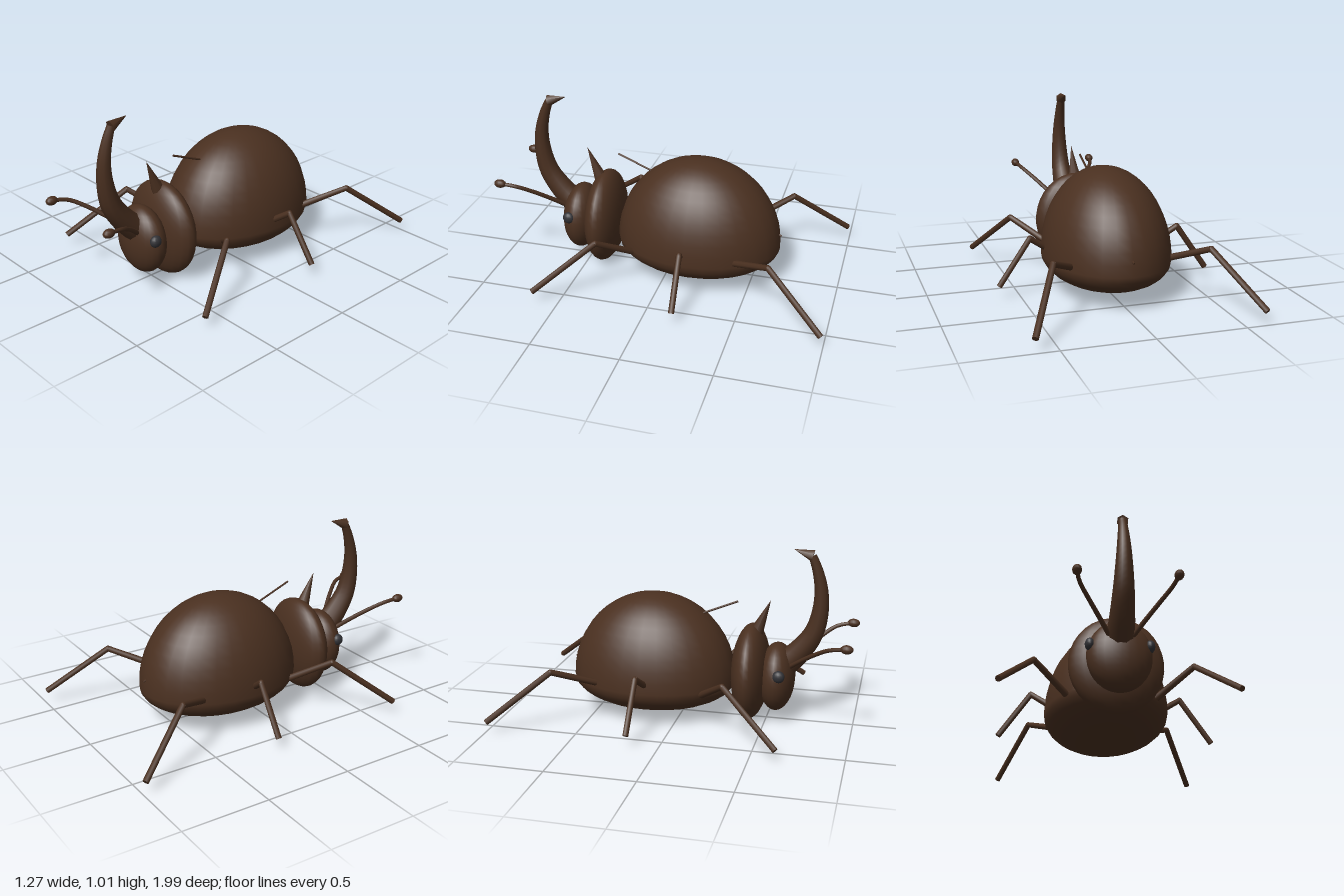
import * as THREE from 'three';

const shell = new THREE.MeshStandardMaterial({ color: 0x4a3020 });
shell.name = 'brownShell';
const eyeBlack = new THREE.MeshStandardMaterial({ color: 0x323236 });
eyeBlack.name = 'eyeBlack';

const V = (x, y, z) => new THREE.Vector3(x, y, z);

function part(parent, name, geometry, material = shell) {
  const mesh = new THREE.Mesh(geometry, material);
  mesh.name = name;
  parent.add(mesh);
  return mesh;
}

function ellipsoid(parent, name, center, radii, material = shell, seg = 24) {
  const g = new THREE.SphereGeometry(1, seg, Math.round(seg * 0.7));
  g.scale(...radii);
  const mesh = part(parent, name, g, material);
  mesh.position.set(...center);
  return mesh;
}

// Straight round rod or cone between two points
function rod(parent, name, a, b, r0, r1, sides = 8) {
  const mesh = part(parent, name, new THREE.CylinderGeometry(r1, r0, a.distanceTo(b), sides));
  mesh.position.copy(a).add(b).multiplyScalar(0.5);
  mesh.quaternion.setFromUnitVectors(V(0, 1, 0), b.clone().sub(a).normalize());
  return mesh;
}

// Curved tube whose radius follows a rule along its length
function taperedTube(parent, name, points, radiusAt, steps, sides) {
  const curve = new THREE.CatmullRomCurve3(points);
  const g = new THREE.TubeGeometry(curve, steps, 1, sides, false);
  const pos = g.attributes.position;
  const p = V(0, 0, 0);
  for (let i = 0; i < pos.count; i++) {
    const t = Math.floor(i / (sides + 1)) / steps;
    const c = curve.getPointAt(t);
    p.fromBufferAttribute(pos, i).sub(c).multiplyScalar(radiusAt(t)).add(c);
    pos.setXYZ(i, p.x, p.y, p.z);
  }
  return part(parent, name, g);
}

export function createModel() {
  const model = new THREE.Group();
  model.name = 'hornedBeetle';

  // Abdomen: tall dome above, shallow bowl below
  const dome = new THREE.SphereGeometry(1, 28, 12, 0, Math.PI * 2, 0, Math.PI / 2);
  dome.scale(0.36, 0.505, 0.482);
  part(model, 'wingCases', dome).position.set(0, 0.21, -0.172);
  const bowl = new THREE.SphereGeometry(1, 28, 8, 0, Math.PI * 2, Math.PI / 2, Math.PI / 2);
  bowl.scale(0.36, 0.18, 0.482);
  part(model, 'belly', bowl).position.set(0, 0.21, -0.172);

  // Thin straight seam running through the wing cases
  rod(model, 'wingSeam', V(0, 0.29, -0.66), V(0, 0.69, 0.32), 0.006, 0.006, 6);

  // Thorax and head
  ellipsoid(model, 'thorax', [0, 0.28, 0.403], [0.26, 0.28, 0.108]);
  ellipsoid(model, 'head', [0, 0.26, 0.555], [0.175, 0.2, 0.105]);

  // Thorax spike
  rod(model, 'thoraxSpike', V(0, 0.49, 0.42), V(0, 0.71, 0.51), 0.045, 0, 8);

  // Big head horn with a backward-pointing tip
  taperedTube(model, 'headHorn', [
    V(0, 0.34, 0.6), V(0, 0.42, 0.68), V(0, 0.53, 0.755), V(0, 0.65, 0.787),
    V(0, 0.78, 0.79), V(0, 0.9, 0.764), V(0, 0.98, 0.733),
  ], (t) => 0.077 - 0.054 * t, 20, 10);
  rod(model, 'hornTip', V(0, 0.977, 0.737), V(0, 1.01, 0.63), 0.034, 0, 6);

  for (const s of [1, -1]) {
    const side = s > 0 ? 'left' : 'right';

    ellipsoid(model, side + 'Eye', [s * 0.158, 0.31, 0.585], [0.027, 0.035, 0.035], eyeBlack, 14);

    // Antenna with a club at the end
    taperedTube(model, side + 'Antenna', [
      V(s * 0.05, 0.33, 0.62), V(s * 0.11, 0.395, 0.695),
      V(s * 0.18, 0.465, 0.785), V(s * 0.235, 0.515, 0.87), V(s * 0.255, 0.532, 0.955),
    ], (t) => 0.014 - 0.003 * t, 14, 7);
    ellipsoid(model, side + 'AntennaClub', [s * 0.255, 0.532, 0.962], [0.025, 0.025, 0.036], shell, 12);

    // Legs: hip, knee and foot
    const legs = {
      FrontLeg: [[0.25, 0.2, 0.165], [0.44, 0.332, 0.32], [0.62, 0.07, 0.642]],
      MiddleLeg: [[0.25, 0.2, -0.12], [0.44, 0.332, -0.167], [0.62, 0.07, -0.172]],
      RearLeg: [[0.25, 0.215, -0.4], [0.44, 0.332, -0.66], [0.62, 0.07, -0.985]],
    };
    for (const [name, joints] of Object.entries(legs)) {
      const leg = new THREE.Group();
      leg.name = side + name;
      const [hip, knee, foot] = joints.map(([x, y, z]) => V(s * x, y, z));
      rod(leg, 'thigh', hip, knee, 0.02, 0.017);
      rod(leg, 'shin', knee, foot, 0.017, 0.017);
      ellipsoid(leg, 'knee', knee.toArray(), [0.017, 0.017, 0.017], shell, 8);
      model.add(leg);
    }
  }
  return model;
}
